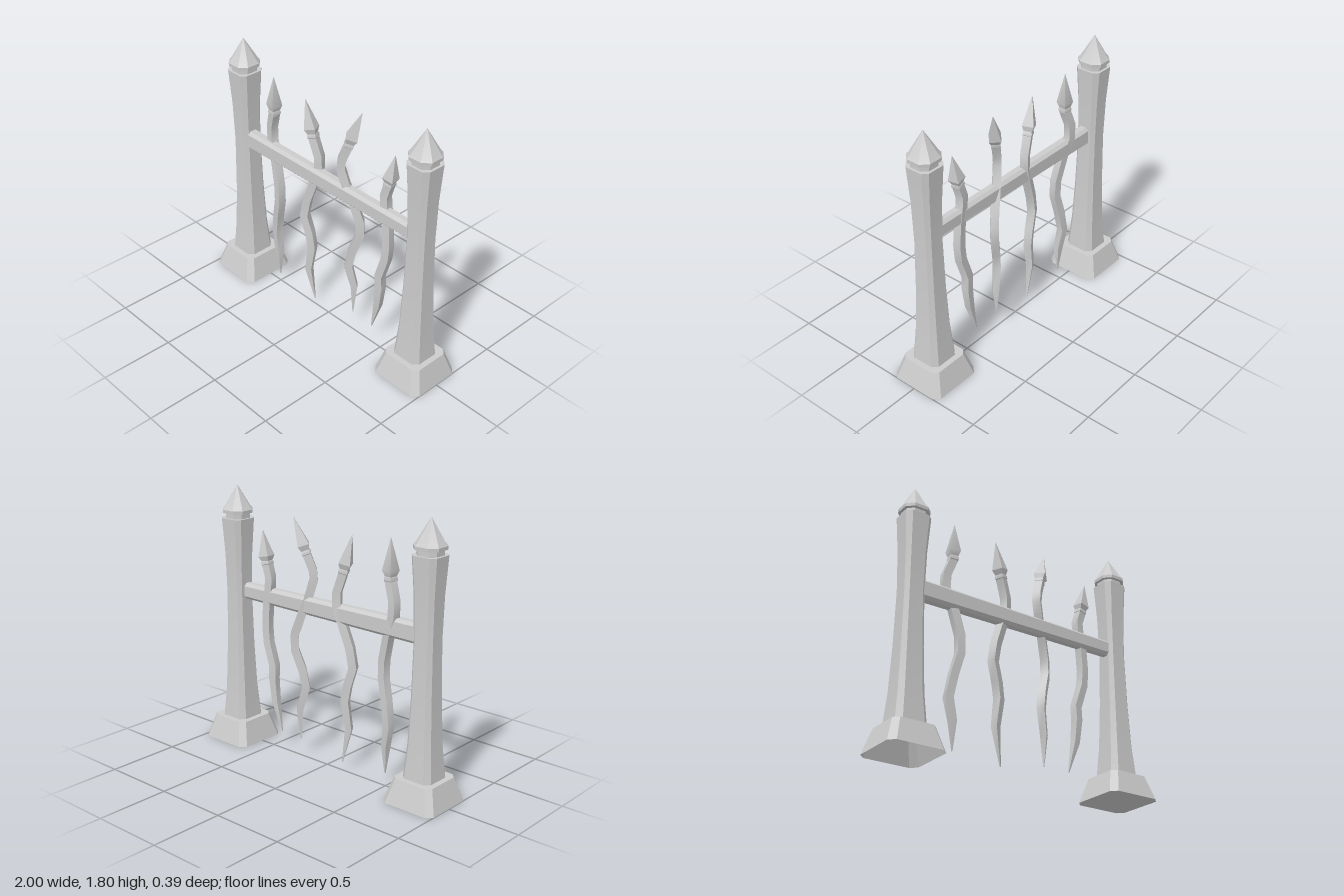
import * as THREE from 'three';
import { toCreasedNormals } from 'three/addons/utils/BufferGeometryUtils.js';

const material = new THREE.MeshStandardMaterial({ color: 0xcccccc });
const openMaterial = new THREE.MeshStandardMaterial({ color: 0xcccccc, side: THREE.DoubleSide });
const V = (x, y, z) => new THREE.Vector3(x, y, z);

// Skin a list of rings (equal point counts); optionally cap the ends
function loft(name, rings, capStart = false, capEnd = false) {
  const pos = [];
  const tri = (a, b, c) => {
    if (a.distanceTo(b) < 1e-6 || b.distanceTo(c) < 1e-6 || a.distanceTo(c) < 1e-6) return;
    for (const p of [a, b, c]) pos.push(p.x, p.y, p.z);
  };
  const n = rings[0].length;
  for (let i = 0; i < rings.length - 1; i++) {
    for (let j = 0; j < n; j++) {
      const k = (j + 1) % n, lo = rings[i], hi = rings[i + 1];
      tri(lo[j], lo[k], hi[k]);
      tri(lo[j], hi[k], hi[j]);
    }
  }
  const last = rings[rings.length - 1];
  for (let j = 1; j < n - 1; j++) {
    if (capStart) tri(rings[0][0], rings[0][j + 1], rings[0][j]);
    if (capEnd) tri(last[0], last[j], last[j + 1]);
  }
  const geometry = new THREE.BufferGeometry();
  geometry.setAttribute('position', new THREE.Float32BufferAttribute(pos, 3));
  const mesh = new THREE.Mesh(toCreasedNormals(geometry, 0.5), material);
  mesh.name = name;
  return mesh;
}

// Corner-cut rectangle in the plane of u and v
function cutRect(center, u, v, a, b, cut) {
  const pts = [[a, -b + cut], [a, b - cut], [a - cut, b], [-a + cut, b],
    [-a, b - cut], [-a, -b + cut], [-a + cut, -b], [a - cut, -b]];
  return pts.map(([p, q]) => center.clone().addScaledVector(u, p).addScaledVector(v, q));
}

// Horizontal rings from [y, half width, corner cut]
const stack = (profile) => profile.map(([y, h, c]) =>
  cutRect(V(0, y, 0), V(1, 0, 0), V(0, 0, -1), h, h, c));

function makePost(name, x, closedBottom) {
  const post = new THREE.Group();
  post.name = name;
  const base = loft('postBase',
    stack([[0, 0.195, 0.04], [0.16, 0.146, 0.034], [0.16, 0.1, 0.035]]), closedBottom);
  if (!closedBottom) base.material = openMaterial;
  post.add(
    base,
    loft('postShaft', stack([
      [0.16, 0.108, 0.034], [0.38, 0.09, 0.03], [0.68, 0.078, 0.026], [1.05, 0.071, 0.024],
      [1.33, 0.077, 0.026], [1.575, 0.092, 0.032], [1.575, 0.075, 0.032],
    ]), false, true),
    loft('postNeck', stack([[1.57, 0.075, 0.036], [1.615, 0.075, 0.036]])),
    loft('finial', stack([
      [1.605, 0.07, 0.036], [1.61, 0.092, 0.045], [1.632, 0.093, 0.045], [1.65, 0.08, 0.042], [1.8, 0, 0],
    ]), true),
  );
  post.position.x = x;
  return post;
}

// Square rings that follow a path [x, y] lying in a slanted upright plane
function sweep(name, path, radii, slant, midX) {
  const pts = path.map(([x, y]) => V(x, y, (x - midX) * slant));
  const normal = V(slant, 0, -1).normalize();
  const turn = 0.2;
  const rings = pts.map((p, i) => {
    const t = pts[Math.min(i + 1, pts.length - 1)].clone().sub(pts[Math.max(i - 1, 0)]).normalize();
    const u = normal.clone().cross(t);
    return [0, 1, 2, 3].map((k) => {
      const a = turn + Math.PI / 4 + k * Math.PI / 2, r = radii[i] * Math.SQRT2;
      return p.clone().addScaledVector(u, r * Math.cos(a)).addScaledVector(normal, r * Math.sin(a));
    });
  });
  return loft(name, rings, true, true);
}

// Wavy shaft from lower point to collar, then a spearhead up to tip
function makeSpear({ shaft, tip, slant, midX }) {
  const spear = new THREE.Group();
  spear.name = 'wavySpear';
  const radii = shaft.map((_, i) => [0.003, 0.022, 0.026][i] ?? 0.027);
  const [ex, ey] = shaft[shaft.length - 1];
  const at = (f) => [ex + (tip[0] - ex) * f, ey + (tip[1] - ey) * f];
  spear.add(
    sweep('spearShaft', shaft, radii, slant, midX),
    sweep('spearCollar', [-0.03, 0, 0.06, 0.12].map(at), [0.024, 0.03, 0.03, 0.025], slant, midX),
    sweep('spearHead', [0.1, 0.24, 1].map(at), [0.026, 0.038, 0.001], slant, midX),
  );
  return spear;
}

// midX is where each spear's plane crosses the crossbar
const spears = [
  { slant: 0.35, midX: -0.525, tip: [-0.505, 1.63], shaft: [[-0.485, 0.08], [-0.487, 0.27], [-0.515, 0.42],
    [-0.487, 0.58], [-0.452, 0.72], [-0.455, 0.84], [-0.5, 1.02], [-0.55, 1.15], [-0.55, 1.25], [-0.51, 1.365]] },
  { slant: -0.25, midX: -0.107, tip: [-0.19, 1.6], shaft: [[-0.13, 0.055], [-0.175, 0.3], [-0.147, 0.49],
    [-0.165, 0.6], [-0.203, 0.73], [-0.18, 0.86], [-0.125, 1.02], [-0.09, 1.13], [-0.09, 1.22], [-0.132, 1.35]] },
  { slant: -0.6, midX: 0.19, tip: [0.255, 1.66], shaft: [[0.22, 0.13], [0.225, 0.35], [0.19, 0.51], [0.21, 0.63],
    [0.253, 0.77], [0.253, 0.87], [0.21, 1.02], [0.17, 1.14], [0.142, 1.25], [0.147, 1.315], [0.182, 1.42]] },
  { slant: 0.05, midX: 0.52, tip: [0.575, 1.52], shaft: [[0.41, 0.13], [0.465, 0.34], [0.483, 0.5], [0.478, 0.59],
    [0.53, 0.75], [0.54, 0.86], [0.53, 1.02], [0.51, 1.14], [0.505, 1.21], [0.532, 1.295]] },
];

export function createModel() {
  const model = new THREE.Group();
  model.name = 'fenceSection';

  model.add(makePost('rightPost', -0.805, false), makePost('leftPost', 0.805, true));

  // Crossbar, slightly slimmer towards the left post
  const rail = [[-0.745, 1.077, 0.067, 0.042], [0.74, 1.075, 0.055, 0.038]].map(([x, y, h, d]) =>
    cutRect(V(x, y, 0.012), V(0, 1, 0), V(0, 0, 1), h, d, 0.02));
  model.add(loft('crossbar', rail, true, true));

  for (const s of spears) model.add(makeSpear(s));
  return model;
}
